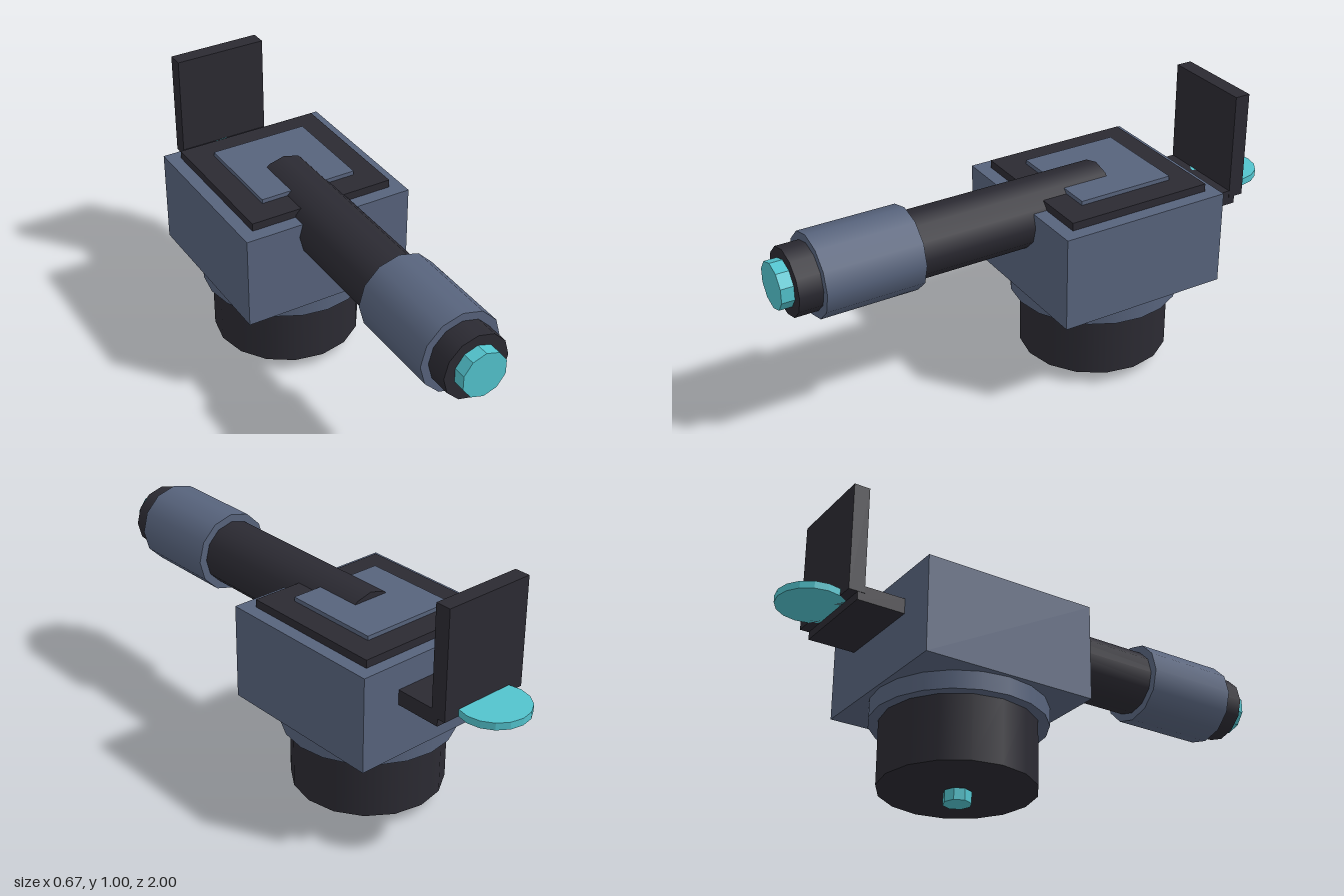
import * as THREE from 'three';

export function createModel() {
  const model = new THREE.Group();
  const dark = new THREE.MeshStandardMaterial({ color: 0x2b2a32 });
  dark.name = 'charcoal';
  const slate = new THREE.MeshStandardMaterial({ color: 0x57637c });
  slate.name = 'slate blue';
  const cyan = new THREE.MeshStandardMaterial({ color: 0x52c3cd, flatShading: true });
  cyan.name = 'cyan';

  const add = (name, geometry, material) => {
    const mesh = new THREE.Mesh(geometry, material);
    mesh.name = name;
    model.add(mesh);
  };
  // Box centred on x, given by its width and its y and z ranges
  const box = (name, mat, w, y0, y1, z0, z1) => add(name,
    new THREE.BoxGeometry(w, y1 - y0, z1 - z0).translate(0, (y0 + y1) / 2, (z0 + z1) / 2), mat);
  // Upright cylinder between two heights
  const upright = (name, mat, r, y0, y1, z, sides) => add(name,
    new THREE.CylinderGeometry(r, r, y1 - y0, sides).translate(0, (y0 + y1) / 2, z), mat);
  // Cylinder along z on the barrel axis
  const along = (name, mat, r, z0, z1, sides) => add(name,
    new THREE.CylinderGeometry(r, r, z1 - z0, sides).rotateX(Math.PI / 2)
      .translate(0, 0.665, (z0 + z1) / 2), mat);

  const cz = -0.28;

  // Turret base
  upright('bottomKnob', cyan, 0.051, 0, 0.043, cz, 8);
  upright('basePedestal', dark, 0.283, 0.05, 0.29, cz, 16);
  upright('baseCollar', slate, 0.32, 0.29, 0.357, cz, 20);

  // Housing and stacked top plates
  box('housing', slate, 0.667, 0.357, 0.717, -0.613, 0.053);
  box('lowerTopPlate', dark, 0.566, 0.717, 0.747, -0.567, 0);
  box('upperTopPlate', slate, 0.38, 0.747, 0.763, -0.473, -0.097);

  // Barrel
  along('barrel', dark, 0.124, cz, 0.953, 12);
  along('barrelSleeve', slate, 0.154, 0.5, 0.867, 12);
  along('barrelTip', cyan, 0.086, 0.953, 1, 10);

  // Rear bracket, upright shield and disc
  box('rearBracket', dark, 0.357, 0.56, 0.617, -0.793, -0.613);
  box('rearShield', dark, 0.36, 0.59, 1, -0.827, -0.767);
  upright('rearDisc', cyan, 0.127, 0.59, 0.617, -0.873, 16);

  return model;
}
